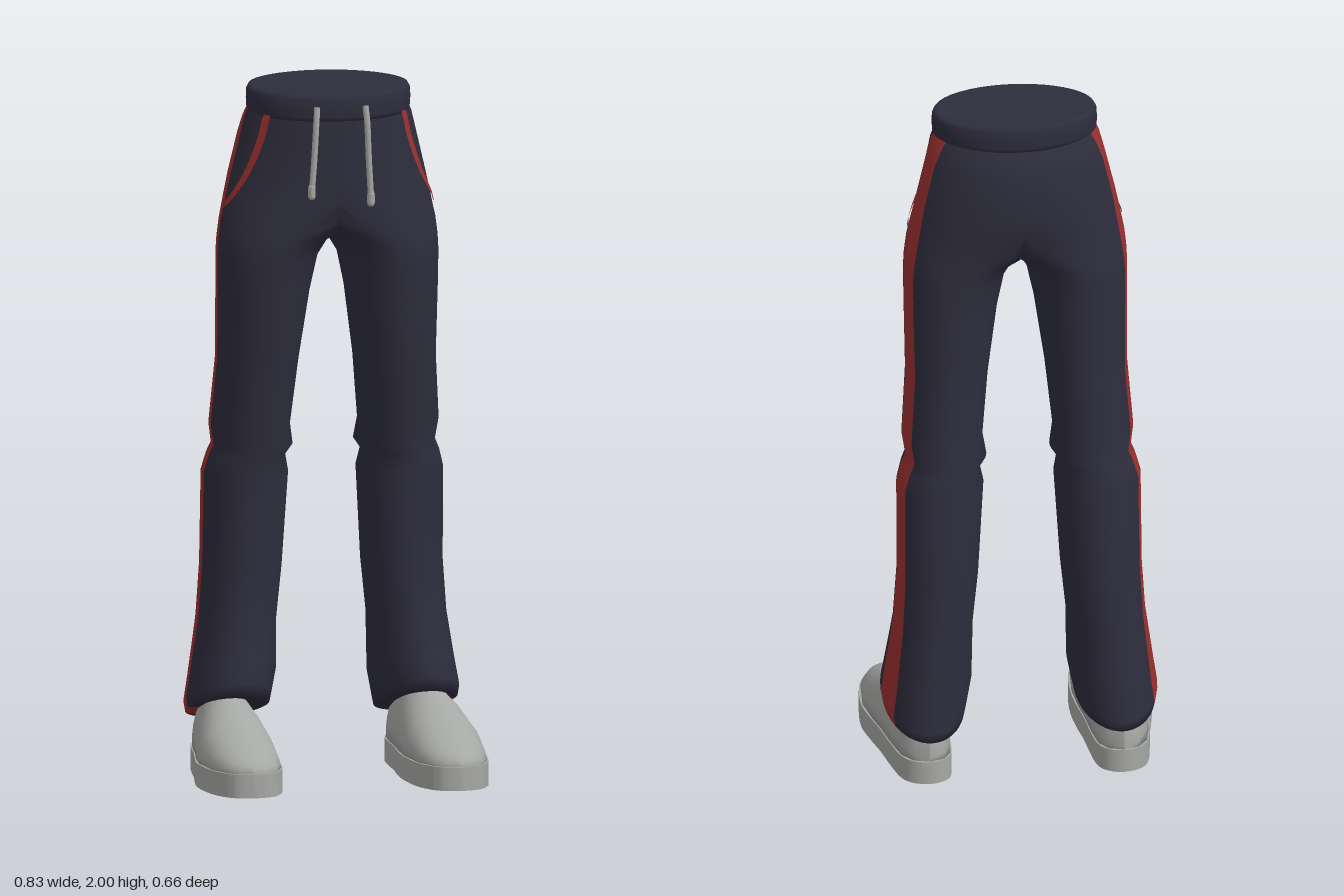
import * as THREE from 'three';
import { toCreasedNormals } from 'three/addons/utils/BufferGeometryUtils.js';

const mat = (name, color, side = THREE.FrontSide) => {
  const m = new THREE.MeshStandardMaterial({ color, side });
  m.name = name;
  return m;
};

// Trouser sections: y, centre x, inner x, outer x, front z, back z
const SECTIONS = [
  [1.94, 0, 0, 0.226, 0.104, -0.228],
  [1.90, 0, 0, 0.243, 0.106, -0.245],
  [1.85, 0, 0, 0.256, 0.107, -0.268],
  [1.73, 0, -0.4, 0.285, 0.106, -0.275],
  [1.66, 0.05, -0.32, 0.300, 0.104, -0.262],
  [1.60, 0.10, -0.15, 0.312, 0.100, -0.250],
  [1.565, 0.13, -0.04, 0.316, 0.097, -0.247],
  [1.545, 0.15, 0.004, 0.318, 0.095, -0.245],
  [1.50, 0.18, 0.032, 0.320, 0.090, -0.241],
  [1.40, 0.19, 0.054, 0.319, 0.079, -0.238],
  [1.20, 0.20, 0.083, 0.317, 0.053, -0.243],
  [1.01, 0.215, 0.102, 0.331, 0.022, -0.260],
  [0.95, 0.21, 0.092, 0.322, 0.012, -0.268],
  [0.92, 0.225, 0.113, 0.335, 0.008, -0.272],
  [0.87, 0.225, 0.102, 0.349, 0.000, -0.281],
  [0.60, 0.235, 0.119, 0.350, -0.005, -0.300],
  [0.45, 0.25, 0.135, 0.360, 0.002, -0.307],
  [0.29, 0.265, 0.138, 0.384, 0.024, -0.320],
  [0.22, 0.275, 0.152, 0.395, 0.036, -0.328],
  [0.192, 0.275, 0.158, 0.390, 0.034, -0.326],
  [0.19, 0.275, 0.18, 0.370, 0.010, -0.300],
  [0.20, 0.275, 0.27, 0.28, -0.135, -0.155],
];
// Stripe edges: y, front z, back z
const STRIPE = [[1.94, -0.062, -0.14], [1.4, -0.07, -0.155], [1.2, -0.088, -0.17],
  [0.8, -0.13, -0.215], [0.5, -0.14, -0.228], [0.2, -0.14, -0.25]];
// Shoe sections: z, half width, height
const SHOE = [[0.33, 0, 0.075], [0.319, 0.045, 0.094], [0.29, 0.076, 0.11], [0.22, 0.104, 0.138],
  [0.1, 0.116, 0.185], [0, 0.107, 0.228], [-0.08, 0.095, 0.25], [-0.18, 0.085, 0.25],
  [-0.26, 0.072, 0.215], [-0.3, 0.045, 0.16], [-0.315, 0, 0.13]];

// Linear lookup in a table sorted by descending first column
function lookup(table, y) {
  if (y >= table[0][0]) return table[0];
  for (let i = 1; i < table.length; i++) {
    const a = table[i - 1], b = table[i];
    if (y >= b[0]) return a.map((v, k) => THREE.MathUtils.lerp(v, b[k], (a[0] - y) / (a[0] - b[0])));
  }
  return table[table.length - 1];
}

// Skin over closed rings; columns below `second` go into material group 1
function loft(rings, flip, second = 0) {
  const n = rings[0].length, pos = rings.flat(), groups = [[], []];
  const tri = (j, ...t) => {
    if (t.every(k => Math.abs(pos[k].x) < 1e-4)) return; // no wall on the centre plane
    groups[j < second ? 1 : 0].push(...(flip ? t.reverse() : t));
  };
  for (let i = 0; i < rings.length - 1; i++) {
    for (let j = 0; j < n; j++) {
      const a = i * n + j, b = i * n + (j + 1) % n;
      tri(j, a, b, a + n);
      tri(j, b, b + n, a + n);
    }
  }
  const g = new THREE.BufferGeometry().setFromPoints(pos);
  g.setIndex(groups.flat());
  if (second) {
    g.addGroup(0, groups[0].length, 0);
    g.addGroup(groups[0].length, groups[1].length, 1);
  }
  g.computeVertexNormals();
  // Smooth the seam between the two halves
  const nor = g.attributes.normal, v = new THREE.Vector3();
  pos.forEach((p, k) => {
    if (Math.abs(p.x) > 1e-4) return;
    v.fromBufferAttribute(nor, k).setX(0).normalize();
    nor.setXYZ(k, v.x, v.y, v.z);
  });
  return g;
}

// One half of the trousers, with its side stripe as the first columns
function legGeometry(s) {
  const rings = SECTIONS.map(([y, xc, xi, xo, zf, zb]) => {
    const zc = (zf + zb) / 2, rz = (zf - zb) / 2, [, sf, sb] = lookup(STRIPE, y);
    const slope = 0.33 * THREE.MathUtils.smoothstep(0.5 - y, 0, 0.28); // the hem drops to the back
    const angle = z => Math.asin(THREE.MathUtils.clamp((z - zc) / rz, -0.9, 0.9));
    const a0 = angle(sb), a1 = angle(sf), ring = [];
    const arcs = [[a0, a1, 4], [a1, Math.PI / 2, 8], [Math.PI / 2, Math.PI * 1.5, 22],
      [Math.PI * 1.5, a0 + Math.PI * 2, 7]];
    for (const [from, to, count] of arcs) {
      for (let k = 0; k < count; k++) {
        const t = from + (to - from) * k / count, c = Math.cos(t);
        const x = Math.max(0, xc + (c > 0 ? xo - xc : xc - xi) * c);
        const z = zc + rz * Math.sin(t);
        ring.push(new THREE.Vector3(s * x, y + slope * (z + 0.145), z));
      }
    }
    return ring;
  });
  return loft(rings, s < 0, 4);
}

// Thin pocket piping laid on the hip
function pocketGeometry(s) {
  const path = new THREE.SplineCurve([[0.031, 1.915], [0.026, 1.85], [0.013, 1.775], [-0.012, 1.7],
    [-0.04, 1.66], [-0.075, 1.642]].map(p => new THREE.Vector2(...p)));
  const pos = [], index = [], N = 24;
  for (let i = 0; i <= N; i++) {
    const p = path.getPoint(i / N), d = path.getTangent(i / N);
    for (const w of [-0.009, 0.009]) {
      const z = p.x - d.y * w, y = p.y + d.x * w;
      const [, xc, , xo, zf, zb] = lookup(SECTIONS, y);
      const q = (z - (zf + zb) / 2) / ((zf - zb) / 2);
      pos.push(new THREE.Vector3(s * (xc + (xo - xc) * Math.sqrt(1 - q * q) + 0.004), y, z + 0.002));
    }
    if (i < N) {
      const a = i * 2, f = [a, a + 1, a + 2, a + 1, a + 3, a + 2];
      index.push(...(s > 0 ? f : f.reverse()));
    }
  }
  const g = new THREE.BufferGeometry().setFromPoints(pos);
  g.setIndex(index);
  g.computeVertexNormals();
  return g;
}

const shoeX = z => 0.3 + Math.min(0, z - 0.1) * 0.05;

function shoeUpperGeometry(s) {
  const rings = SHOE.map(([z, w, h]) => Array.from({ length: 19 }, (_, j) => {
    const t = Math.PI * j / 18;
    return new THREE.Vector3(s * (shoeX(z) + w * 0.97 * Math.cos(t)),
      0.06 + (h - 0.06) * Math.pow(Math.abs(Math.sin(t)), 0.8), z * 0.985);
  }));
  return loft(rings, s > 0);
}

function shoeSoleGeometry(s) {
  const side = k => SHOE.map(([z, w]) => new THREE.Vector2(s * (shoeX(z) + k * w), -z));
  const outline = [...side(1), ...side(-1).reverse().slice(1, -1)];
  const points = new THREE.SplineCurve([...outline, outline[0]]).getPoints(80).slice(0, -1);
  const g = new THREE.ExtrudeGeometry(new THREE.Shape(points), { depth: 0.068, bevelEnabled: false });
  return toCreasedNormals(g.rotateX(-Math.PI / 2), 0.7);
}

// Oval waistband, slightly lower at the front
function waistbandGeometry() {
  const profile = [[0.93, 1.914], [0.985, 1.913], [1, 1.925], [1.005, 1.95], [1, 1.975], [0.975, 1.986],
    [0.93, 1.988], [0.9, 1.984], [0, 1.984]].map(p => new THREE.Vector2(...p));
  const g = new THREE.LatheGeometry(profile, 40).scale(0.235, 1, 0.178);
  const p = g.attributes.position;
  for (let i = 0; i < p.count; i++) p.setY(i, p.getY(i) - 0.06 * p.getZ(i));
  return g.translate(0, 0, -0.06);
}

export function createModel() {
  const model = new THREE.Group();
  model.name = 'trousersAndShoes';
  const navy = mat('navy cloth', 0x2e2d3d);
  const red = mat('red trim', 0x9c2f2f, THREE.DoubleSide);
  const grey = mat('light grey', 0xa6a8a5);
  const add = (name, geometry, material) => {
    const m = new THREE.Mesh(geometry, material);
    m.name = name;
    model.add(m);
    return m;
  };

  add('waistband', waistbandGeometry(), navy);
  for (const [s, label] of [[1, 'left'], [-1, 'right']]) {
    add(label + 'TrouserLeg', legGeometry(s), [navy, red]);
    add(label + 'PocketPiping', pocketGeometry(s), red);
    add(label + 'ShoeUpper', shoeUpperGeometry(s), grey);
    add(label + 'ShoeSole', shoeSoleGeometry(s), grey);

    // Drawstring with a thicker tip
    const low = s > 0 ? 1.665 : 1.69;
    const cord = new THREE.CatmullRomCurve3([[0.07, 1.945, 0.11], [0.074, 1.9, 0.116],
      [0.079, 1.8, 0.113], [0.087, low, 0.112]].map(([x, y, z]) => new THREE.Vector3(s * x, y, z)));
    add(label + 'Drawstring', new THREE.TubeGeometry(cord, 16, 0.009, 8), grey);
    add(label + 'DrawstringTip', new THREE.CapsuleGeometry(0.011, 0.025, 4, 8), grey)
      .position.set(s * 0.086, low + 0.012, 0.112);
  }
  return model;
}
